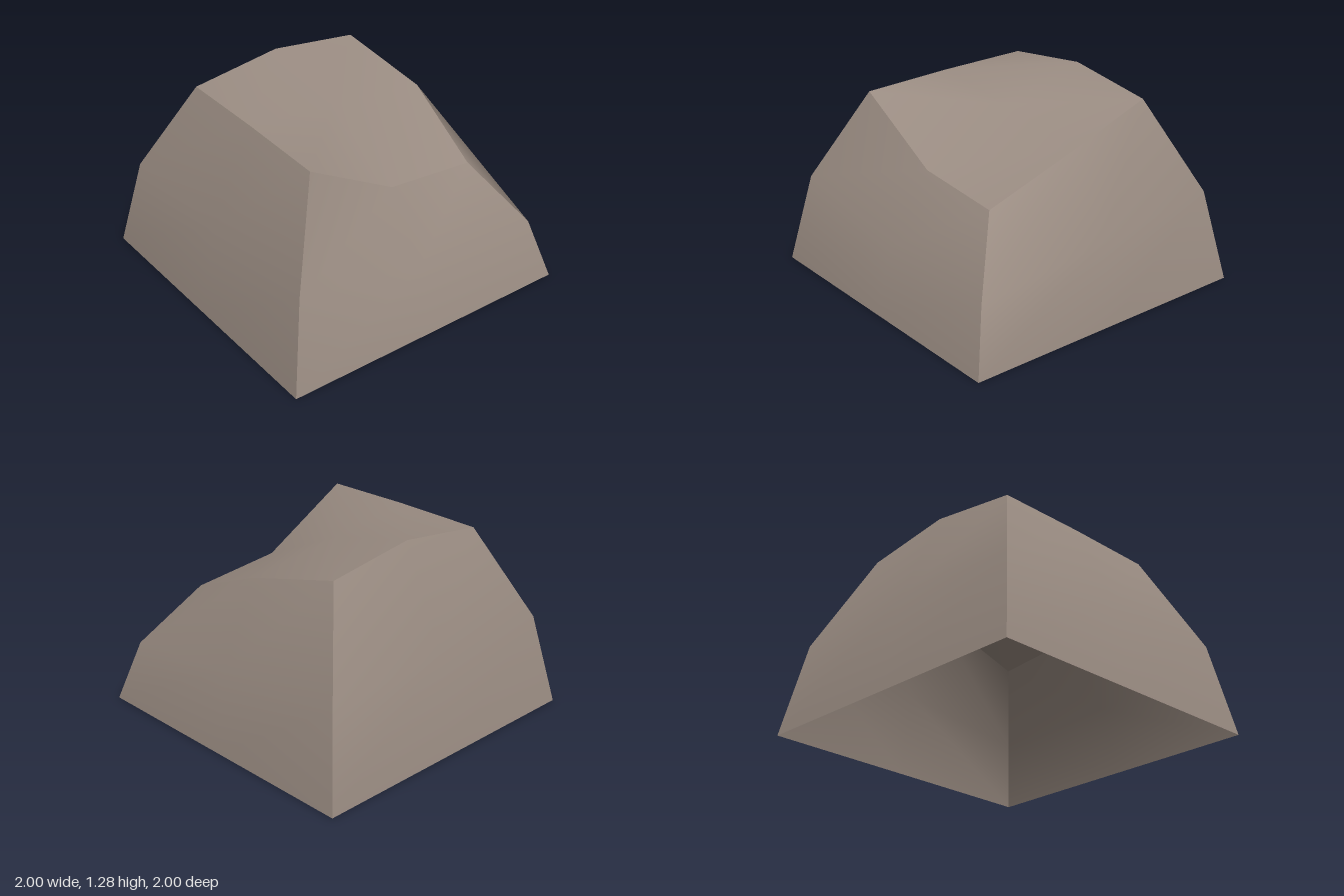
import * as THREE from 'three';

// Height of the crown rim and centre: rows run back to front, columns -x to +x
const CROWN = [
  [1.2, 1.28, 1.2],
  [1.2, 1.13, 1.06],
  [1.185, 0.85, 0.8],
];
// How far each level stands out from the centre: foot, shoulder, crown
const SPREAD = [1, 0.885, 0.6];

export function createModel() {
  const stone = new THREE.MeshStandardMaterial({ color: 0x9a8c82, side: THREE.DoubleSide });
  stone.name = 'warm grey stone';

  // A 2 x 2 x 2 grid box; each side stays smooth while its borders stay sharp
  const geometry = new THREE.BoxGeometry(2, 2, 2, 2, 2, 2);

  // Leave the underside open
  const under = geometry.groups[3];
  const index = Array.from(geometry.index.array);
  index.splice(under.start, under.count);
  geometry.setIndex(index);
  geometry.clearGroups();

  // Taper the sides and lift every column to its crown height
  const pos = geometry.attributes.position;
  for (let i = 0; i < pos.count; i++) {
    const [x, y, z] = [pos.getX(i), pos.getY(i), pos.getZ(i)].map(Math.round);
    const level = y + 1;
    const height = CROWN[z + 1][x + 1] * level / 2;
    // The middle of the +x side bulges outward
    const bulge = x === 1 && z === 0 ? 0.04 * level : 0;
    pos.setXYZ(i, x * SPREAD[level] + bulge, height, z * SPREAD[level]);
  }
  geometry.computeVertexNormals();

  const boulder = new THREE.Mesh(geometry, stone);
  boulder.name = 'boulder';
  const group = new THREE.Group();
  group.name = 'rock';
  group.add(boulder);
  return group;
}
